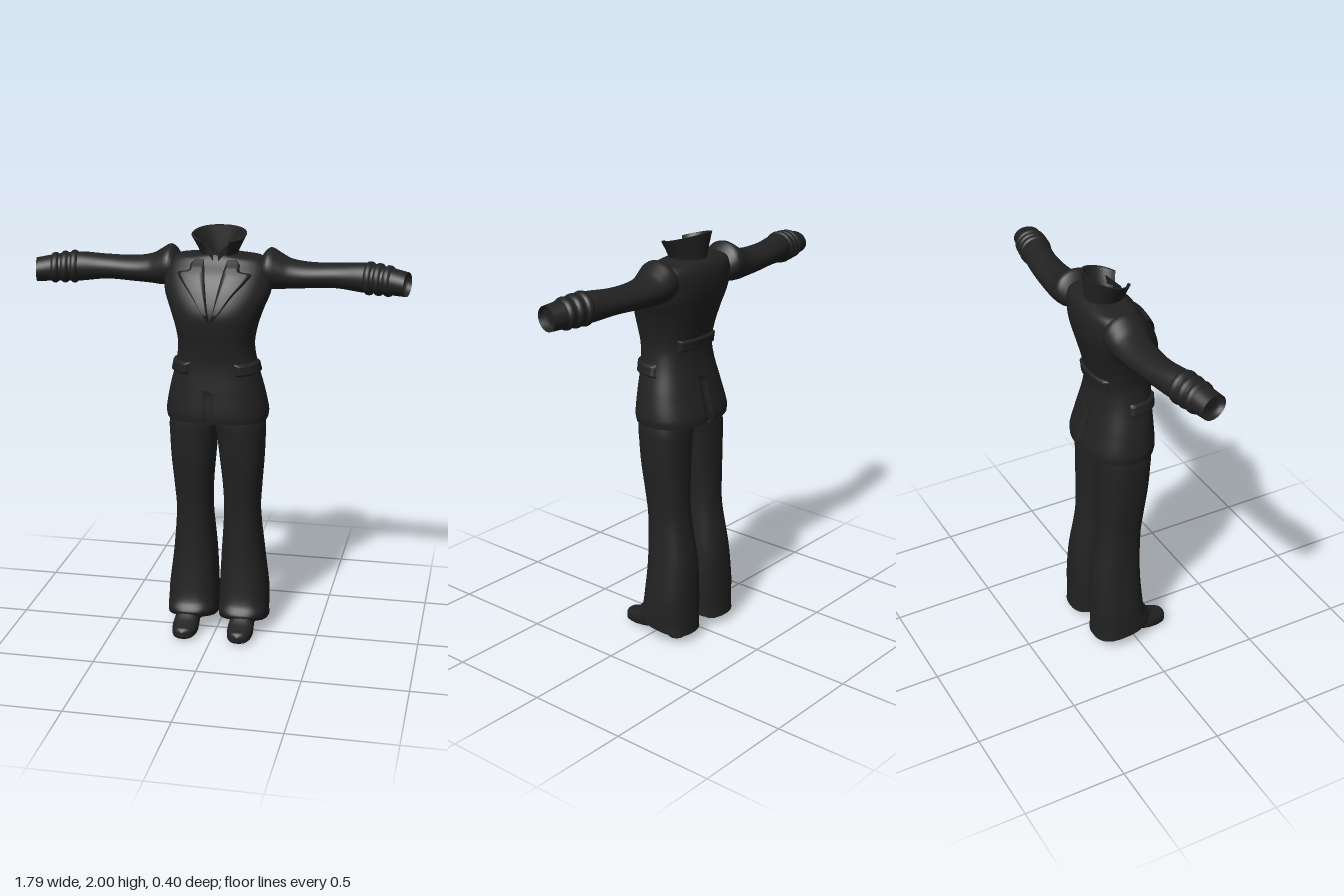
import * as THREE from 'three';
import { mergeVertices } from 'three/addons/utils/BufferGeometryUtils.js';

const cloth = new THREE.MeshStandardMaterial({ color: 0x222222, side: THREE.DoubleSide });
cloth.name = 'charcoal cloth';

// Smooth interpolation of key rows; the first column is the parameter
function sample(keys, t) {
  let i = 0;
  while (i < keys.length - 2 && t > keys[i + 1][0]) i++;
  const a = keys[i], b = keys[i + 1], p = keys[Math.max(i - 1, 0)], n = keys[Math.min(i + 2, keys.length - 1)];
  const h = b[0] - a[0], s = THREE.MathUtils.clamp((t - a[0]) / h, 0, 1), s2 = s * s, s3 = s2 * s;
  return a.slice(1).map((_, j) => {
    const k = j + 1;
    const ma = (b[k] - p[k]) / (b[0] - p[0]) * h, mb = (n[k] - a[k]) / (n[0] - a[0]) * h;
    return (2 * s3 - 3 * s2 + 1) * a[k] + (s3 - 2 * s2 + s) * ma + (3 * s2 - 2 * s3) * b[k] + (s3 - s2) * mb;
  });
}

// Smooth surface from a function of u, v returning [x, y, z]
function surface(name, fn, nu, nv) {
  const pos = [], idx = [];
  for (let j = 0; j <= nv; j++) for (let i = 0; i <= nu; i++) pos.push(...fn(i / nu, j / nv));
  for (let j = 0; j < nv; j++) for (let i = 0; i < nu; i++) {
    const a = j * (nu + 1) + i, b = a + nu + 1;
    idx.push(a, a + 1, b, b, a + 1, b + 1);
  }
  let g = new THREE.BufferGeometry();
  g.setAttribute('position', new THREE.Float32BufferAttribute(pos, 3));
  g.setIndex(idx);
  g = mergeVertices(g, 1e-5);
  g.computeVertexNormals();
  const m = new THREE.Mesh(g, cloth);
  m.name = name;
  return m;
}

const lerp = THREE.MathUtils.lerp, TAU = Math.PI * 2;
const pw = (v, e) => Math.sign(v) * Math.abs(v) ** e;
const bump = (u, v) => Math.min(1, 8 * Math.min(u, 1 - u, v, 1 - v));

// Jacket body: y, half width, front z, back z
const BODY = [
  [1.105, .24, .145, -.195], [1.14, .245, .15, -.195], [1.25, .225, .145, -.165], [1.38, .192, .14, -.135],
  [1.47, .18, .15, -.13], [1.55, .192, .165, -.145], [1.63, .217, .17, -.165], [1.72, .25, .14, -.185],
  [1.8, .25, .095, -.19], [1.85, .235, .05, -.18], [1.875, .19, .03, -.16], [1.885, .085, .02, -.14]];
const N = 2.4;
function bodyPoint(a, y, off = 0) {
  const [w, zf, zb] = sample(BODY, y);
  return [(w + off) * pw(Math.sin(a), 2 / N), y, (zf + zb) / 2 + ((zf - zb) / 2 + off) * pw(Math.cos(a), 2 / N)];
}
function bodyFront(x, y, off) {
  const [w, zf, zb] = sample(BODY, y);
  const r = Math.min(Math.abs(x) / w, 1);
  return [x, y, (zf + zb) / 2 + (zf - zb) / 2 * (1 - r ** N) ** (1 / N) + off];
}

// Sleeve: x, low y, high y, front z, back z
const SLEEVE = [
  [.19, 1.74, 1.86, .0, -.16], [.215, 1.73, 1.895, .02, -.185], [.24, 1.72, 1.912, .025, -.19],
  [.28, 1.718, 1.89, .015, -.188], [.33, 1.722, 1.862, 0, -.183], [.42, 1.727, 1.848, -.01, -.175],
  [.55, 1.733, 1.85, -.015, -.16], [.68, 1.722, 1.86, .003, -.133], [.78, 1.722, 1.85, .022, -.11], [.88, 1.72, 1.832, .045, -.085]];
function sleevePoint(a, x, off = 0) {
  const [y0, y1, zf, zb] = sample(SLEEVE, x);
  const dz = ((zf - zb) / 2 + off) * Math.cos(a);
  const tilt = .23 * THREE.MathUtils.smoothstep(x, .35, .85);
  return [x - dz * tilt, (y0 + y1) / 2 + ((y1 - y0) / 2 + off) * Math.sin(a), (zf + zb) / 2 + dz];
}

// Trouser leg: y, inner x, outer x, front z, back z
const LEG = [
  [.04, .006, .25, .085, -.2], [.09, .005, .25, .1, -.197], [.15, .005, .25, .072, -.196], [.22, .006, .247, .06, -.196],
  [.4, .015, .225, .05, -.188], [.62, .03, .206, .056, -.152], [.75, .027, .213, .07, -.145], [.9, .013, .225, .09, -.143],
  [1.02, .0, .23, .1, -.142], [1.08, -.012, .23, .105, -.14], [1.22, -.012, .2, .1, -.12]];

// Shoe: z, half width, sole y, top y
const SHOE = [
  [-.15, .012, .035, .1], [-.14, .036, .03, .12], [-.07, .045, .03, .14], [.0, .052, .017, .14],
  [.07, .06, .005, .115], [.12, .062, .004, .085], [.165, .052, .006, .068], [.19, .034, .009, .06], [.2, .004, .02, .045]];

// Lapel: y, inner x, outer x
const LAPEL = [
  [1.6, .002, .008], [1.65, .012, .048], [1.72, .024, .1], [1.79, .036, .165], [1.812, .04, .172],
  [1.82, .042, .125], [1.85, .05, .115], [1.872, .055, .09]];

function createSide() {
  const side = new THREE.Group();

  side.add(surface('sleeve', (u, v) => sleevePoint(u * TAU, lerp(.19, .88, v)), 36, 60));
  // Turned-in cuff lining
  side.add(surface('cuffLining', (u, v) => {
    const p = sleevePoint(u * TAU, .88 - .03 * Math.min(1, v * 2), -.008 * Math.min(1, v * 2));
    const k = Math.max(0, v * 2 - 1);
    return [lerp(p[0], .85, k), lerp(p[1], 1.776, k), lerp(p[2], -.022, k)];
  }, 36, 4));
  // Raised bands above the cuff
  for (const x of [.705, .75, .795])
    side.add(surface('cuffBand', (u, v) => sleevePoint(u * TAU, x + (v - .5) * .034, .009 * Math.sin(v * Math.PI) ** .5), 36, 6));

  side.add(surface('trouserLeg', (u, v) => {
    const y = lerp(.04, 1.22, v), a = u * TAU;
    const [x0, x1, zf, zb] = sample(LEG, y);
    const c = Math.cos(a), e = 2 / 2.5;
    const hem = .045 * (1 + c) / 2 * Math.max(0, 1 - v * 12);
    return [(x0 + x1) / 2 + (x1 - x0) / 2 * pw(Math.sin(a), e), y + hem, (zf + zb) / 2 + (zf - zb) / 2 * pw(c, e)];
  }, 48, 60));

  side.add(surface('shoe', (u, v) => {
    const z = lerp(-.15, .2, v), a = u * TAU;
    const [w, y0, y1] = sample(SHOE, z);
    const s = Math.sin(a);
    return [.137 + w * pw(Math.cos(a), .75), (y0 + y1) / 2 + (y1 - y0) / 2 * pw(s, s < 0 ? .4 : .95), z];
  }, 32, 40));
  const heel = new THREE.Mesh(new THREE.CylinderGeometry(.042, .039, .045, 20), cloth);
  heel.name = 'shoeHeel';
  heel.position.set(.137, .0225, -.105);
  side.add(heel);

  side.add(surface('lapel', (u, v) => {
    const y = lerp(1.6, 1.872, v), [xi, xo] = sample(LAPEL, y);
    return bodyFront(lerp(xi, xo, u), y, -.002 + .015 * bump(u, v));
  }, 16, 60));
  // Pocket flap wrapping round the hip
  side.add(surface('pocketFlap', (u, v) =>
    bodyPoint(lerp(.5, 1.75, u), lerp(1.335, 1.397, v), -.002 + .016 * bump(u * .5 + .25, v) * Math.min(1, 16 * Math.min(u, 1 - u))), 24, 12));
  // Shirt collar point inside the neckline
  side.add(surface('shirtCollar', (u, v) => [
    lerp(.012, .068, u), lerp(lerp(1.85, 1.87, u), lerp(1.9, 1.945, u), v), lerp(.045, -.005, u) - .012 * v], 6, 4));
  return side;
}

export function createModel() {
  const model = new THREE.Group();
  model.name = 'suit';

  // Jacket shell with the back vent and front closing groove
  model.add(surface('jacket', (u, v) => {
    const y = lerp(1.105, 1.885, v), a = u * TAU, p = bodyPoint(a, y);
    if (Math.abs(u - .5) < .006 && y < 1.31) p[2] += .018;
    if (Math.abs(u - .99) < .004 && y < 1.26) p[2] -= .012;
    return p;
  }, 128, 70));
  // Thick lower edge turned up towards the trousers
  model.add(surface('jacketHem', (u, v) => {
    const p = bodyPoint(u * TAU, 1.105, -.035 * v);
    p[1] += .02 * v * v;
    return p;
  }, 64, 4));
  model.add(surface('backBelt', (u, v) =>
    bodyPoint(Math.PI + lerp(-.75, .75, u), lerp(1.455, 1.515, v), -.002 + .016 * bump(u, v)), 24, 12));

  // Flared standing collar, open at the front and highest at the back
  const collar = (a, v, off) => {
    const zt = -.052 + (.1 - off) * Math.cos(a), zl = -.06 + (.085 - off) * Math.cos(a);
    const yt = 1.96 - .26 * (zt - .0);
    const e = v ** 1.2;
    return [lerp(.08 - off, .13 - off, e) * pw(Math.sin(a), .85), lerp(1.865, yt, v), lerp(zl, zt, e)];
  };
  const sweep = u => lerp(.5, TAU - .5, u);
  model.add(surface('collar', (u, v) => collar(sweep(u), v, 0), 48, 10));
  model.add(surface('collarLining', (u, v) => collar(sweep(u), v, .012), 48, 10));
  model.add(surface('collarEdge', (u, v) => collar(sweep(u), 1, .012 * v), 48, 1));

  // Shirt front and closing piece in the neck
  model.add(surface('shirtFront', (u, v) => {
    const r = v * .999 + .001;
    return [.085 * r * Math.sin(u * TAU), 1.872 + .012 * (1 - r), -.058 + .085 * r * Math.cos(u * TAU)];
  }, 32, 4));

  const left = createSide();
  left.name = 'leftSide';
  const right = createSide();
  right.name = 'rightSide';
  right.scale.x = -1;
  model.add(left, right);
  return model;
}
